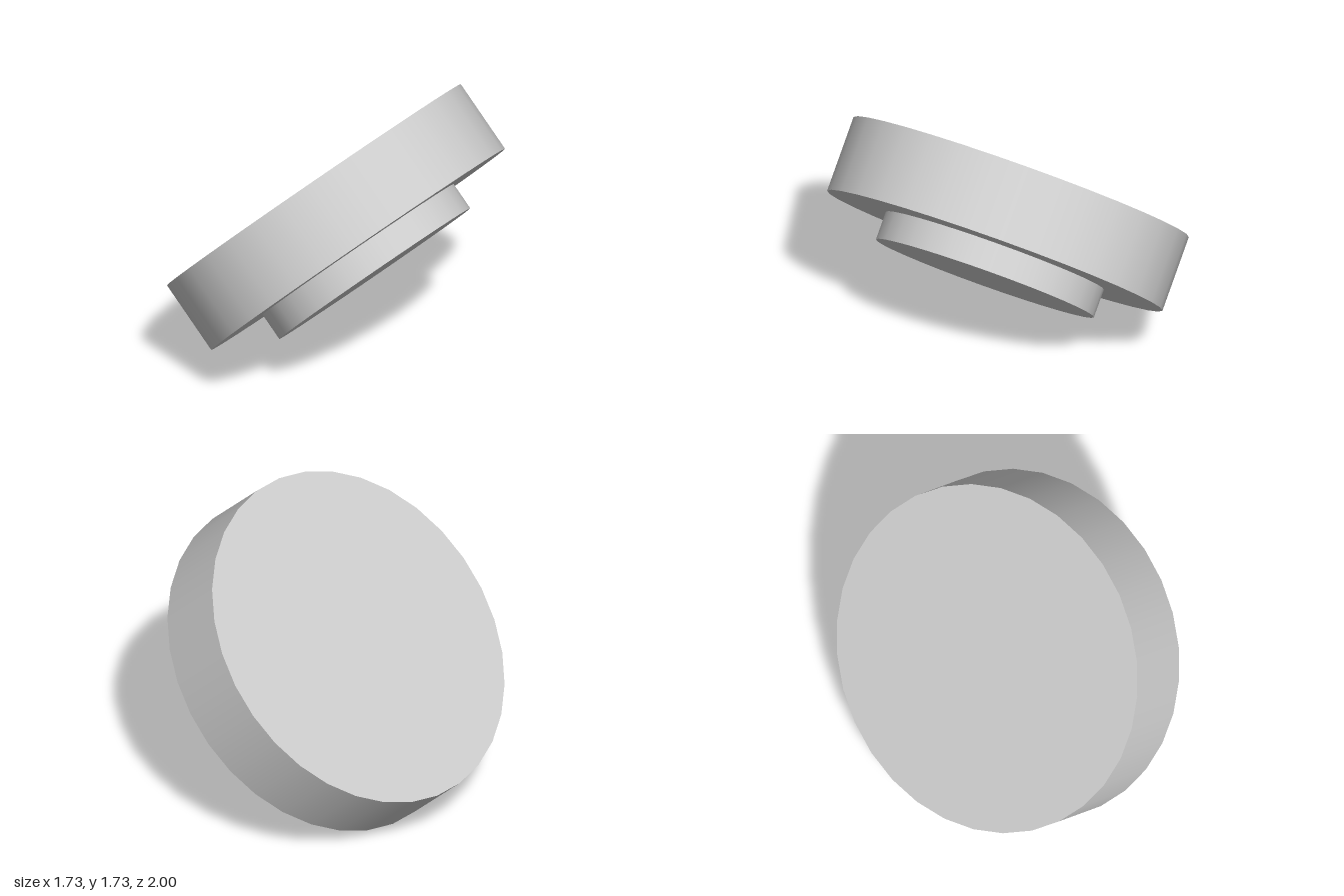
import * as THREE from 'three';

export function createModel() {
  const model = new THREE.Group();
  model.name = 'tiltedDisc';
  const material = new THREE.MeshStandardMaterial({ color: 0xcccccc });

  // Both discs share one axis, tilted 45 degrees
  const tilt = new THREE.Group();
  tilt.name = 'discAssembly';
  tilt.rotation.z = Math.PI / 4;
  tilt.position.y = 0.863;
  model.add(tilt);

  const addDisc = (name, radius, bottom, top) => {
    const geometry = new THREE.CylinderGeometry(radius, radius, top - bottom, 32);
    const mesh = new THREE.Mesh(geometry, material);
    mesh.name = name;
    mesh.position.y = (top + bottom) / 2;
    tilt.add(mesh);
  };

  // Wide disc, and the narrower hub that runs through it and out below
  addDisc('mainDisc', 1, -0.22, 0.22);
  addDisc('hub', 0.65, -0.385, 0.215);

  return model;
}
